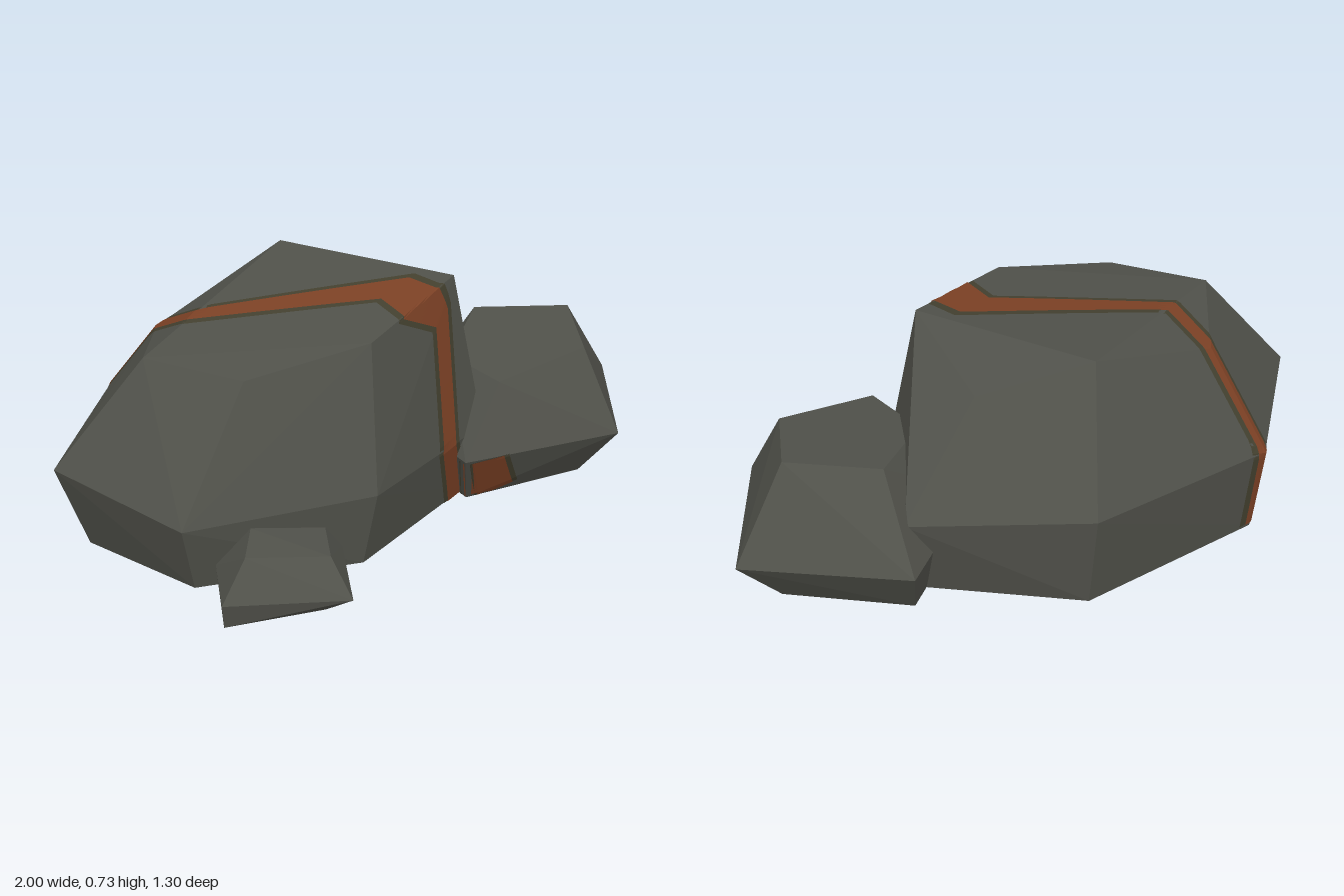
import * as THREE from 'three';
import { ConvexGeometry } from 'three/addons/geometries/ConvexGeometry.js';

const V = (p) => new THREE.Vector3(...p);
const material = (color, side = THREE.FrontSide) =>
  new THREE.MeshStandardMaterial({ color, side, flatShading: true });

const stone = material(0x50514a);
const rust = material(0x7c4125, THREE.DoubleSide);
const stain = material(0x43402f, THREE.DoubleSide);

// A faceted boulder: the convex hull of its crown, waist and base rings
function boulder(name, ...rings) {
  const mesh = new THREE.Mesh(new ConvexGeometry(rings.flat().map(V)), stone);
  mesh.name = name;
  return mesh;
}

// A band laid over a boulder: stations [x, y, z, halfWidth] are joined with
// mitred corners, then every point is pushed out from the centre to the surface
function band(name, rock, centre, stations, closed, mat, extra, lift) {
  const c = V(centre);
  const probe = new THREE.Mesh(rock.geometry, new THREE.MeshBasicMaterial({ side: THREE.DoubleSide }));
  const ray = new THREE.Raycaster();
  const project = (p) => {
    const dir = p.clone().sub(c).normalize();
    ray.set(c, dir);
    const hit = ray.intersectObject(probe)[0];
    return hit ? hit.point.addScaledVector(dir, lift) : p;
  };

  const n = stations.length;
  const pts = stations.map((s) => V(s.slice(0, 3)));
  const edges = pts.map((p, i) => {
    const prev = pts[closed ? (i + n - 1) % n : Math.max(i - 1, 0)];
    const next = pts[closed ? (i + 1) % n : Math.min(i + 1, n - 1)];
    const out = p.clone().sub(c).normalize();
    const flat = (v) => v.projectOnPlane(out).normalize();
    const a = flat(p.clone().sub(prev)), b = flat(next.clone().sub(p));
    const t = a.clone().add(b).normalize();
    const mitre = Math.max(0.6, t.dot(b.lengthSq() ? b : a));
    const side = out.cross(t).normalize().multiplyScalar((stations[i][3] + extra) / mitre);
    return [p.clone().sub(side), p.clone().add(side)];
  });

  const steps = 14, across = 4, pos = [], index = [];
  const spans = closed ? n : n - 1;
  for (let i = 0; i < spans; i++) {
    const [l0, r0] = edges[i], [l1, r1] = edges[(i + 1) % n];
    for (let s = 0; s <= steps; s++) {
      const l = l0.clone().lerp(l1, s / steps), r = r0.clone().lerp(r1, s / steps);
      for (let k = 0; k <= across; k++) {
        const q = pos.length / 3;
        pos.push(...project(l.clone().lerp(r, k / across)).toArray());
        if (s < steps && k < across) {
          const w = across + 1;
          index.push(q, q + 1, q + w, q + 1, q + w + 1, q + w);
        }
      }
    }
  }
  const geo = new THREE.BufferGeometry();
  geo.setAttribute('position', new THREE.Float32BufferAttribute(pos, 3));
  geo.setIndex(index);
  geo.computeVertexNormals();
  const mesh = new THREE.Mesh(geo, mat);
  mesh.name = name;
  return mesh;
}

export function createModel() {
  const group = new THREE.Group();
  group.name = 'rockCluster';

  const main = boulder('mainBoulder',
    // crown
    [[-0.75, 0.62, -0.15], [-0.63, 0.61, 0.17], [-0.26, 0.67, 0.33], [0.2, 0.73, 0.23],
      [0.27, 0.59, -0.11], [0.02, 0.725, -0.38], [-0.49, 0.57, -0.4]],
    // waist
    [[-1, 0.28, -0.29], [-0.91, 0.22, 0.2], [-0.36, 0.24, 0.46], [0.25, 0.22, 0.32],
      [0.59, 0.27, -0.13], [0.21, 0.32, -0.58], [-0.49, 0.29, -0.65]],
    // base
    [[-0.9, 0.004, -0.26], [-0.85, 0.004, 0.18], [-0.38, 0.004, 0.42], [0.22, 0.004, 0.29],
      [0.52, 0.004, -0.12], [0.2, 0.004, -0.54], [-0.47, 0.004, -0.62]]);

  const side = boulder('sideBoulder',
    [[0.58, 0.43, -0.03], [0.79, 0.445, 0.2], [0.61, 0.42, 0.43], [0.27, 0.385, 0.37], [0.3, 0.39, 0.12]],
    [[0.66, 0.165, -0.25], [1, 0.155, 0.19], [0.61, 0.165, 0.59], [0.09, 0.17, 0.4], [0.2, 0.17, -0.02]],
    [[0.6, 0.004, -0.18], [0.85, 0, 0.16], [0.57, 0, 0.46], [0.16, 0, 0.34], [0.25, 0.004, 0]]);

  const small = boulder('smallRock',
    [[-0.84, 0.19, 0.4], [-0.63, 0.17, 0.54], [-0.52, 0.17, 0.4], [-0.72, 0.2, 0.29]],
    [[-0.95, 0.08, 0.42], [-0.64, 0.07, 0.645], [-0.45, 0.08, 0.4], [-0.55, 0.08, 0.12], [-0.8, 0.08, 0.22]],
    [[-0.935, 0, 0.41], [-0.65, 0, 0.54], [-0.5, 0, 0.37], [-0.58, 0, 0.14], [-0.8, 0, 0.24]]);

  group.add(main, side, small);

  // Rust vein zigzagging right round the main boulder
  const loop = [
    [-0.49, 0.29, -0.65, 0.025], [-0.49, 0.57, -0.4, 0.028], [-0.48, 0.65, -0.23, 0.028],
    [0.01, 0.7, 0.14, 0.055], [0.0, 0.7, 0.27, 0.07], [0.1, 0.63, 0.28, 0.035],
    [0.05, 0.22, 0.37, 0.035], [0.14, 0.004, 0.31, 0.04],
    [0, 0.004, 0.13, 0.03], [-0.48, 0.004, -0.23, 0.03], [-0.47, 0.004, -0.61, 0.025],
  ];
  const mainCentre = [-0.2, 0.35, -0.1];
  group.add(band('veinStain', main, mainCentre, loop, true, stain, 0.02, 0.002));
  group.add(band('rustVein', main, mainCentre, loop, true, rust, 0, 0.004));

  // The vein runs on over the foot of the side boulder
  const foot = [[0.16, 0.165, 0.42, 0.06], [0.25, 0.01, 0.37, 0.07]];
  group.add(band('footVeinStain', side, [0.5, 0.2, 0.2], foot, false, stain, 0.018, 0.002));
  group.add(band('footVein', side, [0.5, 0.2, 0.2], foot, false, rust, 0, 0.004));

  return group;
}
